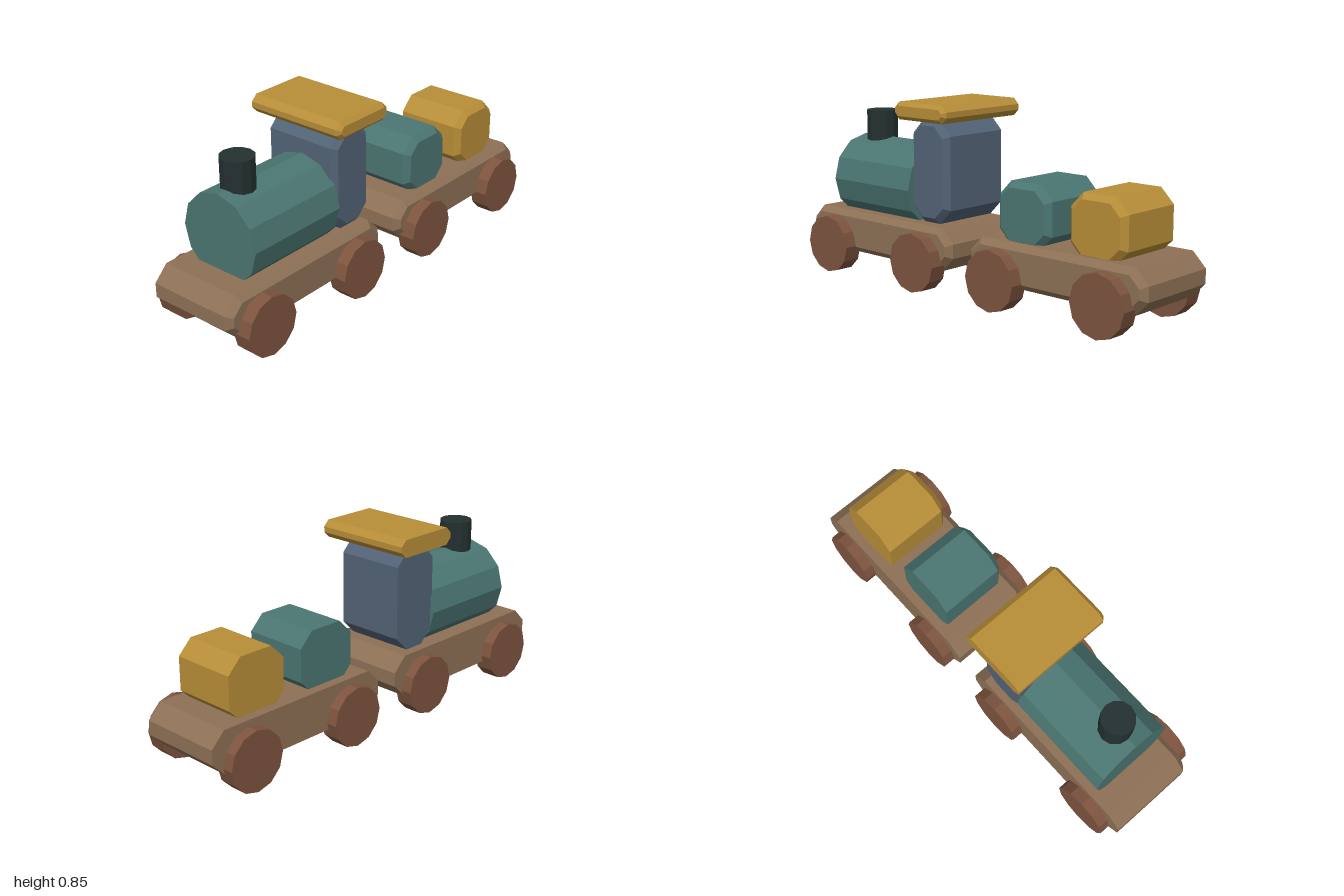
import * as THREE from 'three';

const paint = (name, color) => {
  const m = new THREE.MeshStandardMaterial({ color, flatShading: true });
  m.name = name;
  return m;
};

// Octagon with cut corners, counter-clockwise from the front
function octagon(w, h, c) {
  const x = w / 2, y = h / 2;
  return [[x, -y + c], [x, y - c], [x - c, y], [-x + c, y],
    [-x, y - c], [-x, -y + c], [-x + c, -y], [x - c, -y]];
}

// Block with cut corners, a flat back and a bevelled front face
function blockGeometry(w, h, corner, back, front, bevel) {
  const outer = octagon(w, h, corner);
  const inner = octagon(w - 2 * bevel, h - 2 * bevel, corner - bevel * (2 - Math.SQRT2));
  const rings = [[outer, back], [outer, front - bevel], [inner, front]]
    .map(([pts, z]) => pts.map(([x, y]) => [x, y, z]));
  const pos = [];
  const tri = (...corners) => corners.forEach((p) => pos.push(...p));
  for (let r = 0; r < 2; r++) {
    for (let i = 0; i < 8; i++) {
      const j = (i + 1) % 8, a = rings[r], b = rings[r + 1];
      tri(a[i], a[j], b[j]);
      tri(a[i], b[j], b[i]);
    }
  }
  for (let i = 1; i < 7; i++) {
    tri(rings[2][0], rings[2][i], rings[2][i + 1]);
    tri(rings[0][0], rings[0][i + 1], rings[0][i]);
  }
  const g = new THREE.BufferGeometry();
  g.setAttribute('position', new THREE.Float32BufferAttribute(pos, 3));
  g.computeVertexNormals();
  return g;
}

export function createModel() {
  const train = new THREE.Group();
  train.name = 'toyTrain';

  const wood = paint('brown wood', 0x8e7156);
  const wheelWood = paint('red brown wood', 0x7e543f);
  const teal = paint('teal', 0x4b7672);
  const slate = paint('slate blue', 0x526376);
  const ochre = paint('ochre', 0xb88e38);
  const charcoal = paint('charcoal', 0x243030);

  const add = (parent, name, geometry, material, x, y, z) => {
    const mesh = new THREE.Mesh(geometry, material);
    mesh.name = name;
    mesh.position.set(x, y, z);
    parent.add(mesh);
    return mesh;
  };

  const block = (parent, name, material, [x0, x1], [y0, y1], corner, [back, front], bevel) =>
    add(parent, name, blockGeometry(x1 - x0, y1 - y0, corner, back, front, bevel),
      material, (x0 + x1) / 2, (y0 + y1) / 2, 0);

  // A car is a chassis on four wheels
  const wheelGeometry = new THREE.CylinderGeometry(0.136, 0.136, 0.086, 12).rotateX(Math.PI / 2);
  const car = (name, xs, wheelXs) => {
    const g = new THREE.Group();
    g.name = name;
    train.add(g);
    block(g, 'chassis', wood, xs, [0.105, 0.3], 0.065, [-0.215, 0.207], 0.027);
    for (const x of wheelXs) {
      for (const side of [-1, 1]) add(g, 'wheel', wheelGeometry, wheelWood, x, 0.136, side * 0.222);
    }
    return g;
  };

  // Engine
  const engine = car('engine', [-1, -0.055], [-0.815, -0.24]);
  const boiler = new THREE.CylinderGeometry(0.2, 0.2, 0.505, 12).rotateZ(Math.PI / 2);
  add(engine, 'boiler', boiler, teal, -0.5775, 0.445, -0.004);
  add(engine, 'chimney', new THREE.CylinderGeometry(0.075, 0.075, 0.17, 12), charcoal, -0.71, 0.685, -0.006);
  block(engine, 'cab', slate, [-0.333, -0.1], [0.308, 0.775], 0.067, [-0.183, 0.173], 0.026);
  block(engine, 'roof', ochre, [-0.375, -0.052], [0.772, 0.852], 0.027, [-0.247, 0.237], 0.017);

  // Wagon with two loads
  const wagon = car('wagon', [0.055, 1], [0.235, 0.81]);
  const load = (name, material, x) =>
    block(wagon, name, material, [x - 0.146, x + 0.146], [0.275, 0.555], 0.065, [-0.17, 0.16], 0.026);
  load('frontLoad', teal, 0.33);
  load('rearLoad', ochre, 0.72);

  return train;
}
